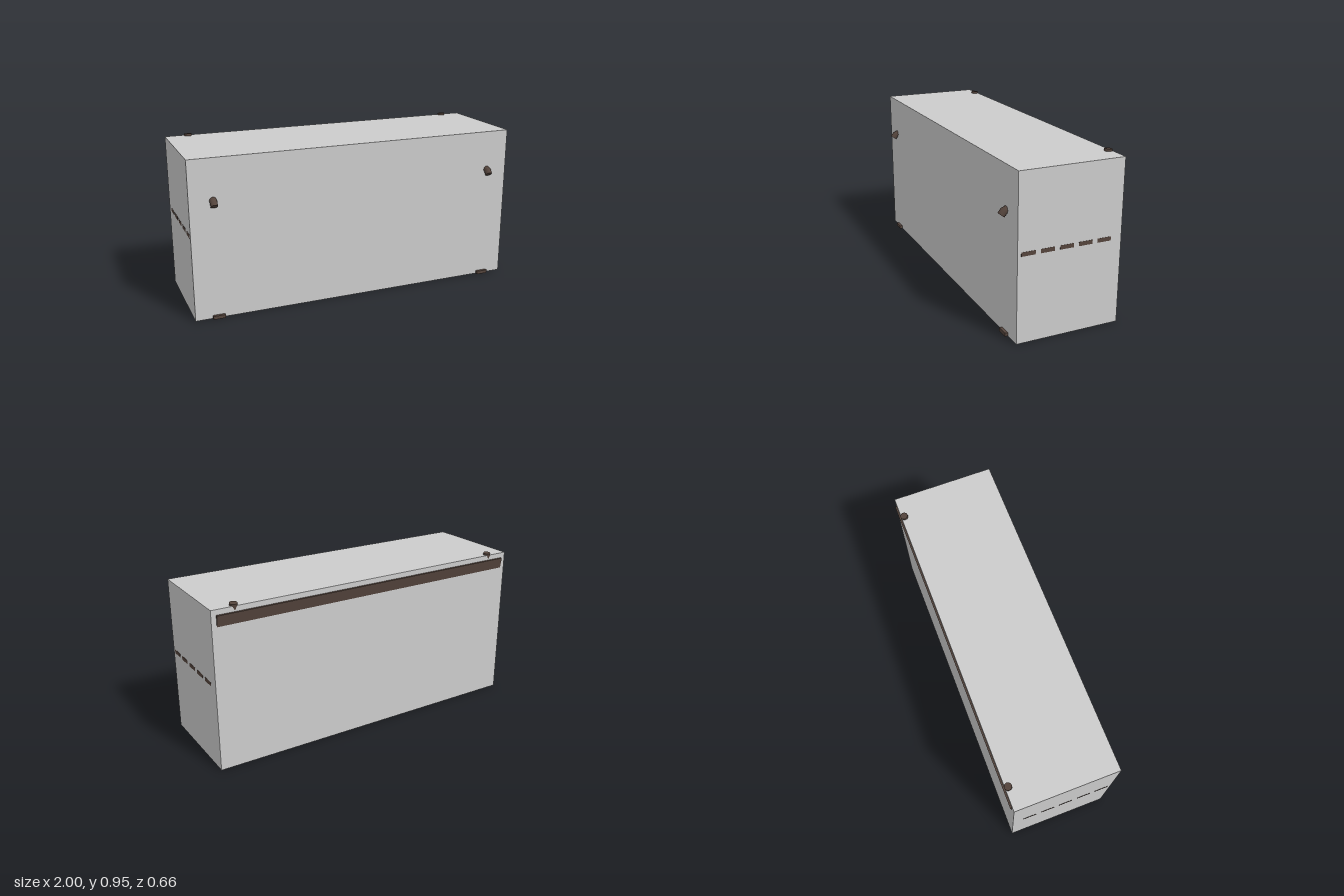
import * as THREE from 'three';

export function createModel() {
  const model = new THREE.Group();
  const grey = new THREE.MeshStandardMaterial({ color: 0xcccccc });
  grey.name = 'light grey';
  const brown = new THREE.MeshStandardMaterial({ color: 0x54443c });
  brown.name = 'dark brown';

  const add = (name, geometry, material, x = 0, y = 0, z = 0, tilt = 0) => {
    const mesh = new THREE.Mesh(geometry, material);
    mesh.name = name;
    mesh.position.set(x, y, z);
    mesh.rotation.x = tilt;
    model.add(mesh);
    return mesh;
  };

  // Capped round bar through points given as [y, z], at a fixed x
  const bar = (name, x, points, radius = 0.021) => {
    const path = new THREE.CatmullRomCurve3(points.map(([y, z]) => new THREE.Vector3(x, y, z)));
    const steps = 24;
    add(name, new THREE.TubeGeometry(path, steps, radius, 12), brown);
    for (const [t, sign] of [[0, -1], [1, 1]]) {
      const cap = add(name + 'Cap', new THREE.CircleGeometry(radius, 12), brown);
      const p = path.getPointAt(t);
      cap.position.copy(p);
      cap.lookAt(p.clone().addScaledVector(path.getTangentAt(t), sign));
    }
  };

  // Solid block enclosing most of the bench
  add('enclosingBlock', new THREE.BoxGeometry(1.998, 0.934, 0.61), grey, 0, 0.468, -0.017);

  // Five seat slats, ends flush with the block's sides
  for (let i = 0; i < 5; i++) {
    add('seatSlat', new THREE.BoxGeometry(2, 0.023, 0.081), brown, 0, 0.4985, 0.227 - i * 0.111);
  }

  // Back slats fixed behind the leaning posts
  const lean = 0.136;
  for (let i = 0; i < 3; i++) {
    const drop = i * 0.11;
    add('backSlat', new THREE.BoxGeometry(1.94, 0.064, 0.012), brown,
      0, 0.872 - drop, -0.322 + drop * Math.tan(lean), -lean);
  }

  // Matching end frames
  for (const x of [-0.865, 0.865]) {
    add('frontFoot', new THREE.BoxGeometry(0.07, 0.02, 0.08), brown, x, 0.01, 0.265);
    add('rearFoot', new THREE.BoxGeometry(0.07, 0.02, 0.08), brown, x, 0.01, -0.255);
    bar('frontLeg', x, [[0.015, 0.265], [0.35, 0.25], [0.7, 0.235]]);
    bar('rearLeg', x, [[0.015, -0.255], [0.46, -0.238]]);
    bar('backPost', x, [[0.45, -0.237], [0.947, -0.305]], 0.022);
    bar('seatRail', x, [[0.466, -0.237], [0.466, 0.247]]);
    bar('armrest', x, [[0.7, -0.27], [0.7, 0], [0.7, 0.27], [0.692, 0.299], [0.67, 0.316]]);
  }
  return model;
}
